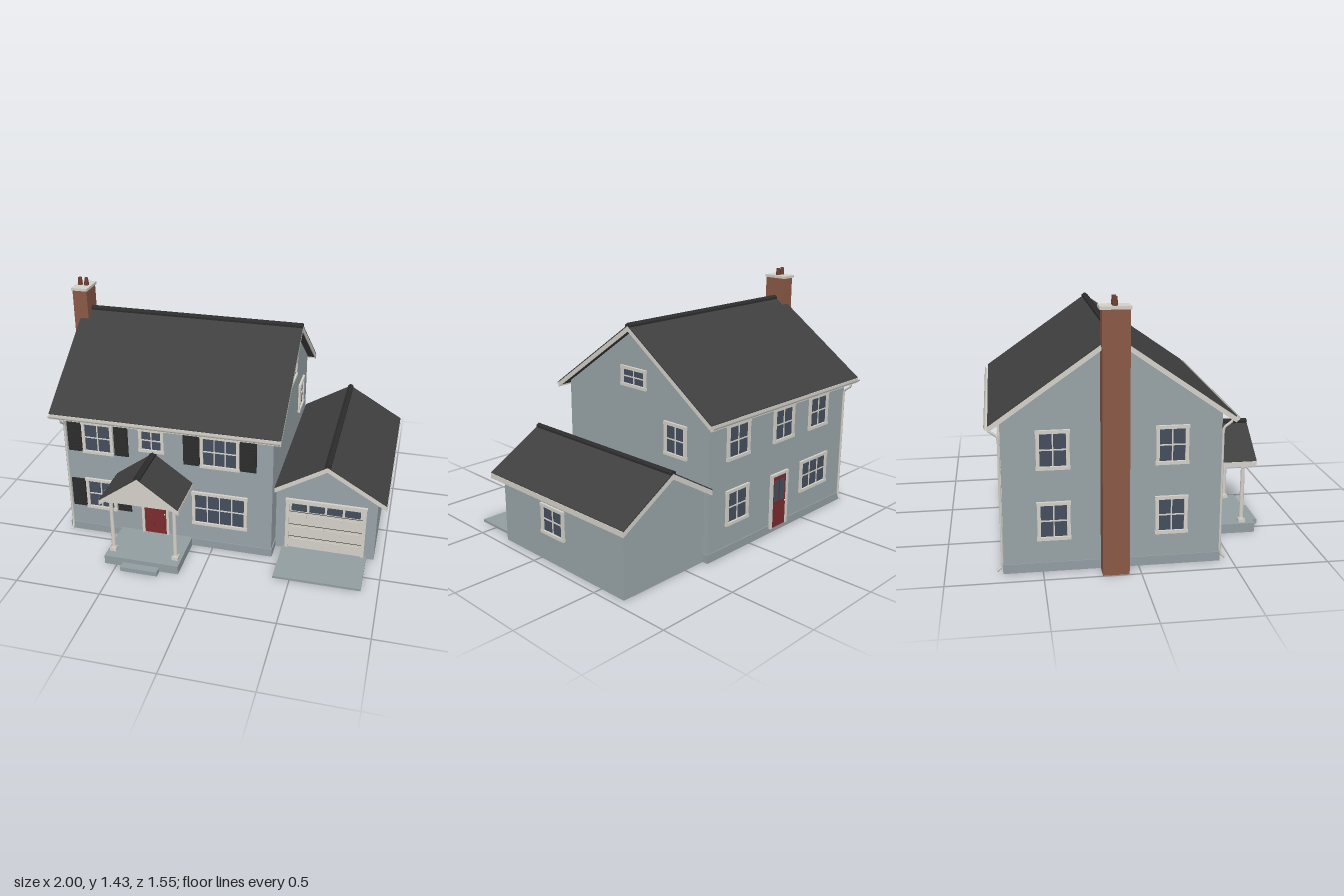
import * as THREE from 'three';

const mat = (name, color, extra = {}) =>
  Object.assign(new THREE.MeshStandardMaterial({ color, ...extra }), { name });

export function createModel() {
  const siding = mat('siding', 0x98a3a7), trim = mat('trim', 0xd3d0c8), shingle = mat('shingle', 0x3f3f3f);
  const dark = mat('dark trim', 0x2c2c2c), brick = mat('brick', 0x8a5847), pot = mat('clay pot', 0x6e4030);
  const glass = mat('glass', 0x444e5e), red = mat('red door', 0x7a2a2d), concrete = mat('concrete', 0x929da1);
  const root = new THREE.Group();
  root.name = 'house';

  const add = (parent, name, geo, m, x = 0, y = 0, z = 0) => {
    const mesh = new THREE.Mesh(geo, m);
    mesh.name = name;
    mesh.position.set(x, y, z);
    parent.add(mesh);
    return mesh;
  };
  // Box given by its min and max corners
  const box = (parent, name, m, x0, x1, y0, y1, z0, z1) =>
    add(parent, name, new THREE.BoxGeometry(x1 - x0, y1 - y0, z1 - z0), m,
      (x0 + x1) / 2, (y0 + y1) / 2, (z0 + z1) / 2);
  const group = (name, x, y, z, rotY = 0, parent = root) => {
    const g = new THREE.Group();
    g.name = name;
    g.position.set(x, y, z);
    g.rotation.y = rotY;
    parent.add(g);
    return g;
  };
  // Outline in x, y pushed out from z0 to z1
  const prism = (parent, name, m, pts, z0, z1) => {
    const shape = new THREE.Shape(pts.map(p => new THREE.Vector2(...p)));
    return add(parent, name, new THREE.ExtrudeGeometry(shape, { depth: z1 - z0, bevelEnabled: false }), m, 0, 0, z0);
  };
  const chevron = (l, r, top, s, t) => [
    [-l, top - l * s - t], [0, top - t], [r, top - r * s - t], [r, top - r * s], [0, top], [-l, top - l * s]];

  // Gabled roof with its ridge along local z
  const roof = (g, l, r, top, s, z0, z1) => {
    prism(g, 'roofSlopes', shingle, chevron(l, r, top, s, 0.03), z0 + 0.006, z1 - 0.006);
    for (const [a, b] of [[z0, z0 + 0.006], [z1 - 0.006, z1]]) {
      prism(g, 'rakeBoard', trim, chevron(l, r, top - 0.007, s, 0.03), a, b);
      prism(g, 'roofEdge', shingle, chevron(l, r, top, s, 0.007), a, b);
    }
    prism(g, 'ridgeCap', dark, chevron(0.018, 0.018, top + 0.012, s, 0.014), z0, z1);
    for (const [side, h] of [[-1, l], [1, r]]) {
      const y = top - h * s;
      add(g, 'fascia', new THREE.BoxGeometry(0.008, 0.03, z1 - z0), trim, side * (h - 0.001), y - 0.019, (z0 + z1) / 2);
    }
  };
  const gable = (g, half, top, s, z0, z1, m, bottom = 0) =>
    prism(g, 'walls', m, [[-half, bottom], [half, bottom], [half, top - half * s], [0, top], [-half, top - half * s]], z0, z1);

  // Framed window with panes, facing local +z, lower edge at y = 0
  const windowAt = (x, y, z, w, h, cols, rows = 2, rotY = 0) => {
    const g = group('window', x, y, z, rotY);
    const f = 0.018, a = w / 2, d = 0.012;
    box(g, 'glass', glass, -a + f, a - f, f, h - f, -0.002, 0.003);
    box(g, 'sill', trim, -a - 0.003, a + 0.003, 0, f, -0.002, d + 0.003);
    box(g, 'header', trim, -a - 0.003, a + 0.003, h - f, h, -0.002, d + 0.002);
    for (const s of [-1, 1])
      box(g, 'jamb', trim, s * (a - f / 2) - f / 2, s * (a - f / 2) + f / 2, f, h - f, -0.002, d);
    for (let i = 1; i < cols; i++) {
      const u = -a + f + (w - 2 * f) * i / cols;
      box(g, 'mullion', trim, u - 0.0035, u + 0.0035, f, h - f, 0.002, 0.007);
    }
    for (let i = 1; i < rows; i++) {
      const v = f + (h - 2 * f) * i / rows;
      box(g, 'mullion', trim, -a + f, a - f, v - 0.0035, v + 0.0035, 0.002, 0.007);
    }
  };

  // Main house, ridge along x
  const FRONT = 0.43, BACK = -0.70, LEFT = -0.90, RIGHT = 0.355, MID = -0.135;
  const main = group('mainHouse', 0, 0, MID, Math.PI / 2);
  gable(main, 0.565, 1.217, 0.7, LEFT, RIGHT, siding);
  roof(main, 0.622, 0.622, 1.25, 0.7, -0.957, 0.405);
  box(root, 'foundation', concrete, LEFT - 0.005, RIGHT + 0.005, 0, 0.05, BACK - 0.005, FRONT + 0.005);

  // Gutters and downspouts
  const gutterMat = mat('trim', 0xd3d0c8, { side: THREE.DoubleSide });
  for (const s of [-1, 1]) {
    const gutter = add(root, 'gutter', new THREE.CylinderGeometry(0.018, 0.018, 1.362, 10, 1, true, -Math.PI / 2, Math.PI),
      gutterMat, -0.276, 0.805, MID + s * 0.623);
    gutter.rotation.z = Math.PI / 2;
    gutter.rotation.order = 'YXZ';
    gutter.rotation.x = 0;
    // turn the half pipe so that it opens upward
    gutter.geometry.rotateY(-Math.PI / 2);
    const wall = MID + s * 0.573;
    const pts = [[0.79, s * 0.05], [0.765, s * 0.045], [0.735, 0.004 * s], [0.7, 0], [0.06, 0], [0.03, s * 0.006], [0.012, s * 0.028]]
      .map(([y, z]) => new THREE.Vector3(-0.888, y, wall + z));
    const path = new THREE.CurvePath();
    for (let i = 1; i < pts.length; i++) path.add(new THREE.LineCurve3(pts[i - 1], pts[i]));
    add(root, 'downspout', new THREE.TubeGeometry(path, 60, 0.007, 6), trim);
  }

  // Chimney
  box(root, 'chimney', brick, -0.995, -0.905, 0, 1.375, -0.2, -0.062);
  box(root, 'chimneyCap', trim, -1, -0.9, 1.372, 1.388, -0.213, -0.056);
  for (const x of [-0.972, -0.932])
    add(root, 'chimneyPot', new THREE.CylinderGeometry(0.011, 0.015, 0.045, 12), pot, x, 1.41, -0.135);

  // Front windows and shutters
  windowAt(-0.688, 0.555, FRONT, 0.19, 0.208, 2);
  windowAt(-0.688, 0.172, FRONT, 0.19, 0.208, 2);
  windowAt(-0.358, 0.61, FRONT, 0.15, 0.153, 2);
  windowAt(0.047, 0.555, FRONT, 0.23, 0.208, 3);
  windowAt(0.044, 0.16, FRONT, 0.33, 0.225, 4);
  for (const [x, y, w] of [[-0.831, 0.56, 0.085], [-0.544, 0.56, 0.085], [-0.831, 0.18, 0.085],
    [-0.544, 0.18, 0.085], [-0.119, 0.56, 0.098], [0.212, 0.56, 0.098]]) {
    const g = group('shutter', x, y, FRONT);
    box(g, 'shutterPanel', dark, -w / 2, w / 2, 0, 0.188, -0.002, 0.008);
    for (let i = 0; i < 9; i++)
      box(g, 'slat', dark, -w / 2 + 0.01, w / 2 - 0.01, 0.014 + i * 0.018, 0.025 + i * 0.018, 0.008, 0.011);
  }
  // Back and side windows
  for (const x of [0.12, -0.285, -0.625]) windowAt(x, 0.555, BACK, 0.19, 0.208, 2, 2, Math.PI);
  windowAt(0.12, 0.175, BACK, 0.19, 0.208, 2, 2, Math.PI);
  windowAt(-0.6, 0.175, BACK, 0.27, 0.2, 3, 2, Math.PI);
  for (const z of [-0.44, 0.17])
    for (const y of [0.175, 0.555]) windowAt(LEFT, y, z, 0.17, 0.208, 2, 2, -Math.PI / 2);
  windowAt(RIGHT, 0.885, -0.132, 0.2, 0.117, 2, 2, Math.PI / 2);
  windowAt(RIGHT, 0.555, -0.458, 0.165, 0.193, 2, 2, Math.PI / 2);

  // Doors
  const doorAt = (name, x, y, z, w, h, rotY, glazed) => {
    const g = group(name, x, y, z, rotY), a = w / 2;
    box(g, 'doorLeaf', red, -a, a, 0, h, -0.002, 0.007);
    for (const s of [-1, 1]) {
      box(g, 'doorJamb', trim, s * (a + 0.008) - 0.008, s * (a + 0.008) + 0.008, 0, h + 0.016, -0.002, 0.014);
      const c = s * w * 0.22, k = w * 0.16;
      box(g, 'lowerPanel', red, c - k, c + k, 0.03, h * 0.42, 0.006, 0.01);
      box(g, glazed ? 'doorGlass' : 'upperPanel', glazed ? glass : red, c - k, c + k, h * 0.5, h - 0.03, 0.006, 0.01);
    }
    box(g, 'doorHeader', trim, -a, a, h, h + 0.016, -0.002, 0.014);
    add(g, 'knob', new THREE.SphereGeometry(0.005, 10, 8), trim, a - 0.01, h * 0.46, 0.012);
  };
  doorAt('frontDoor', -0.351, 0.053, FRONT, 0.136, 0.308, 0, false);
  doorAt('backDoor', -0.255, 0.03, BACK - 0.004, 0.125, 0.32, Math.PI, true);

  // Porch
  const porch = group('porch', -0.35, 0, 0);
  box(porch, 'deck', concrete, -0.222, 0.222, 0, 0.054, 0.43, 0.728);
  box(porch, 'step', concrete, -0.11, 0.11, 0, 0.027, 0.728, 0.776);
  gable(porch, 0.205, 0.58, 0.73, 0.43, 0.7, trim, 0.41);
  roof(porch, 0.232, 0.232, 0.605, 0.73, 0.43, 0.722);
  const column = [[0, 0], [0.019, 0], [0.019, 0.02], [0.014, 0.028], [0.013, 0.03], [0.011, 0.325], [0.013, 0.327], [0.016, 0.34], [0, 0.34]]
    .map(p => new THREE.Vector2(...p));
  for (const x of [-0.188, 0.188]) {
    add(porch, 'column', new THREE.LatheGeometry(column, 16), trim, x, 0.054, 0.657);
    box(porch, 'columnBase', trim, x - 0.019, x + 0.019, 0.054, 0.074, 0.638, 0.676);
    box(porch, 'columnCapital', trim, x - 0.021, x + 0.021, 0.39, 0.412, 0.636, 0.678);
  }

  // Garage
  const GF = 0.32, garage = group('garage', 0.653, 0, 0);
  gable(garage, 0.294, 0.588, 0.59, -0.67, GF, siding);
  roof(garage, 0.297, 0.345, 0.62, 0.59, -0.727, 0.372);
  box(garage, 'driveway', concrete, -0.25, 0.251, 0, 0.014, GF, 0.628);
  windowAt(0.947, 0.165, -0.118, 0.19, 0.175, 2, 2, Math.PI / 2);

  // Garage door: four sections, the top one glazed
  box(garage, 'garageDoor', trim, -0.215, 0.215, 0.014, 0.335, GF, GF + 0.006);
  for (const s of [-1, 1])
    box(garage, 'garageDoorJamb', trim, s * 0.225 - 0.01, s * 0.225 + 0.01, 0.014, 0.335, GF, GF + 0.016);
  box(garage, 'garageDoorHeader', trim, -0.237, 0.237, 0.335, 0.352, GF, GF + 0.016);
  const rows = [0.018, 0.093, 0.178, 0.266];
  for (let c = 0; c < 4; c++) {
    const x = -0.156 + c * 0.104;
    box(garage, 'garageDoorGlass', glass, x - 0.045, x + 0.045, 0.275, 0.32, GF, GF + 0.009);
    for (let r = 0; r < 3; r++)
      box(garage, 'garageDoorPanel', trim, x - 0.043, x + 0.043, rows[r] + 0.015, rows[r + 1] - 0.015, GF, GF + 0.01);
  }
  for (const y of rows.slice(1))
    box(garage, 'garageDoorSeam', dark, -0.215, 0.215, y - 0.0015, y + 0.0015, GF, GF + 0.0068);
  return root;
}
